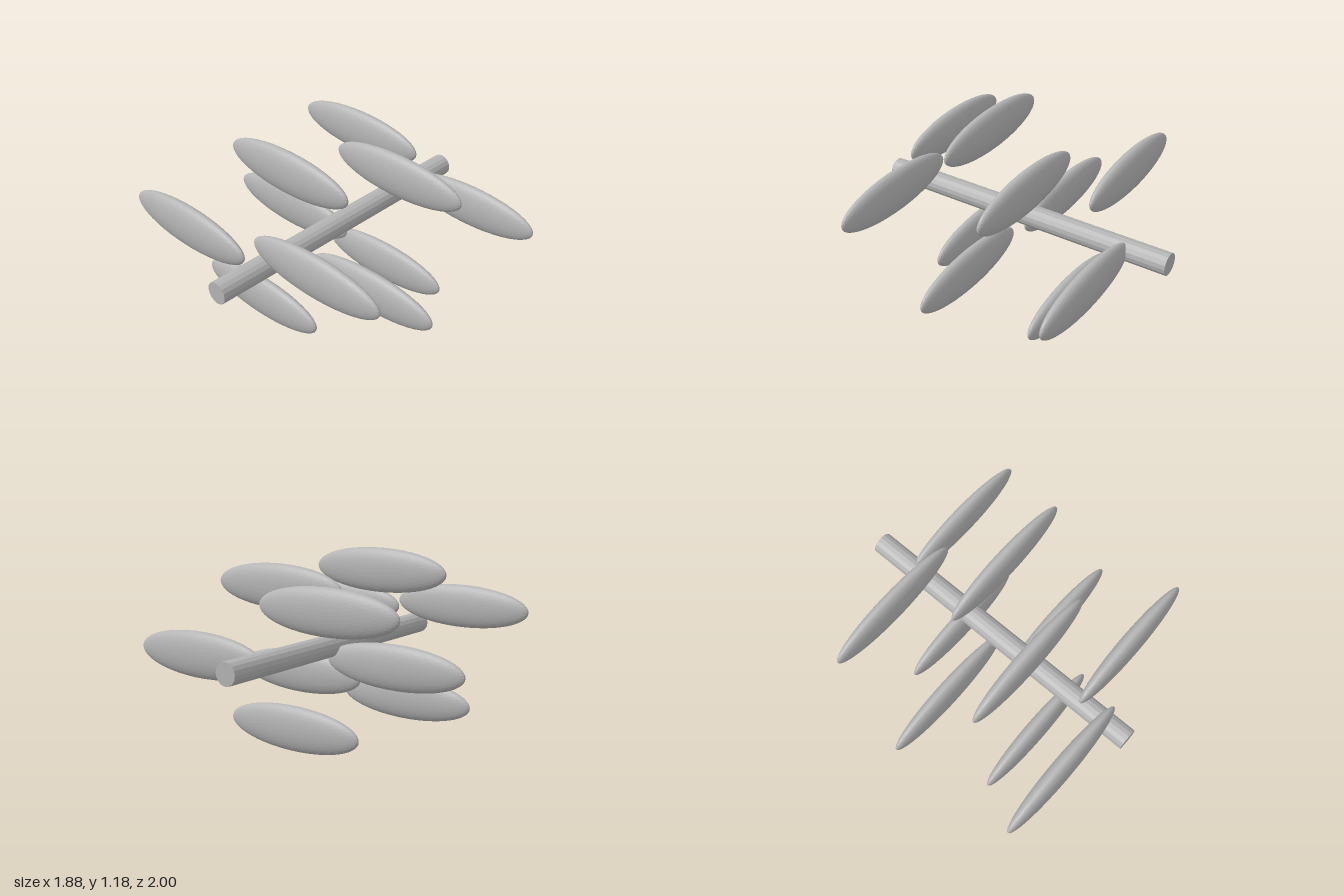
import * as THREE from 'three';

export function createModel() {
  const group = new THREE.Group();
  const grey = new THREE.MeshStandardMaterial({ color: 0xb4b4b4, flatShading: true });
  grey.name = 'light grey';
  const centreX = -0.005, centreY = 0.6;

  // Straight stem running front to back
  const stem = new THREE.Mesh(new THREE.CylinderGeometry(0.07, 0.07, 2, 16), grey);
  stem.name = 'stem';
  stem.rotation.x = Math.PI / 2;
  stem.position.set(centreX, centreY, 0);
  group.add(stem);

  // Long flat leaves, each turned by the golden angle around the stem
  const leafGeometry = new THREE.IcosahedronGeometry(1, 7);
  leafGeometry.scale(0.482, 0.141, 0.061);
  const goldenAngle = THREE.MathUtils.degToRad(137.508);
  for (let i = 0; i < 10; i++) {
    const angle = i * goldenAngle;
    const leaf = new THREE.Mesh(leafGeometry, grey);
    leaf.name = `leaf${i + 1}`;
    leaf.position.set(
      centreX + 0.46 * Math.cos(angle),
      centreY + 0.46 * Math.sin(angle),
      -0.715 + i * 0.1717
    );
    group.add(leaf);
  }
  return group;
}
